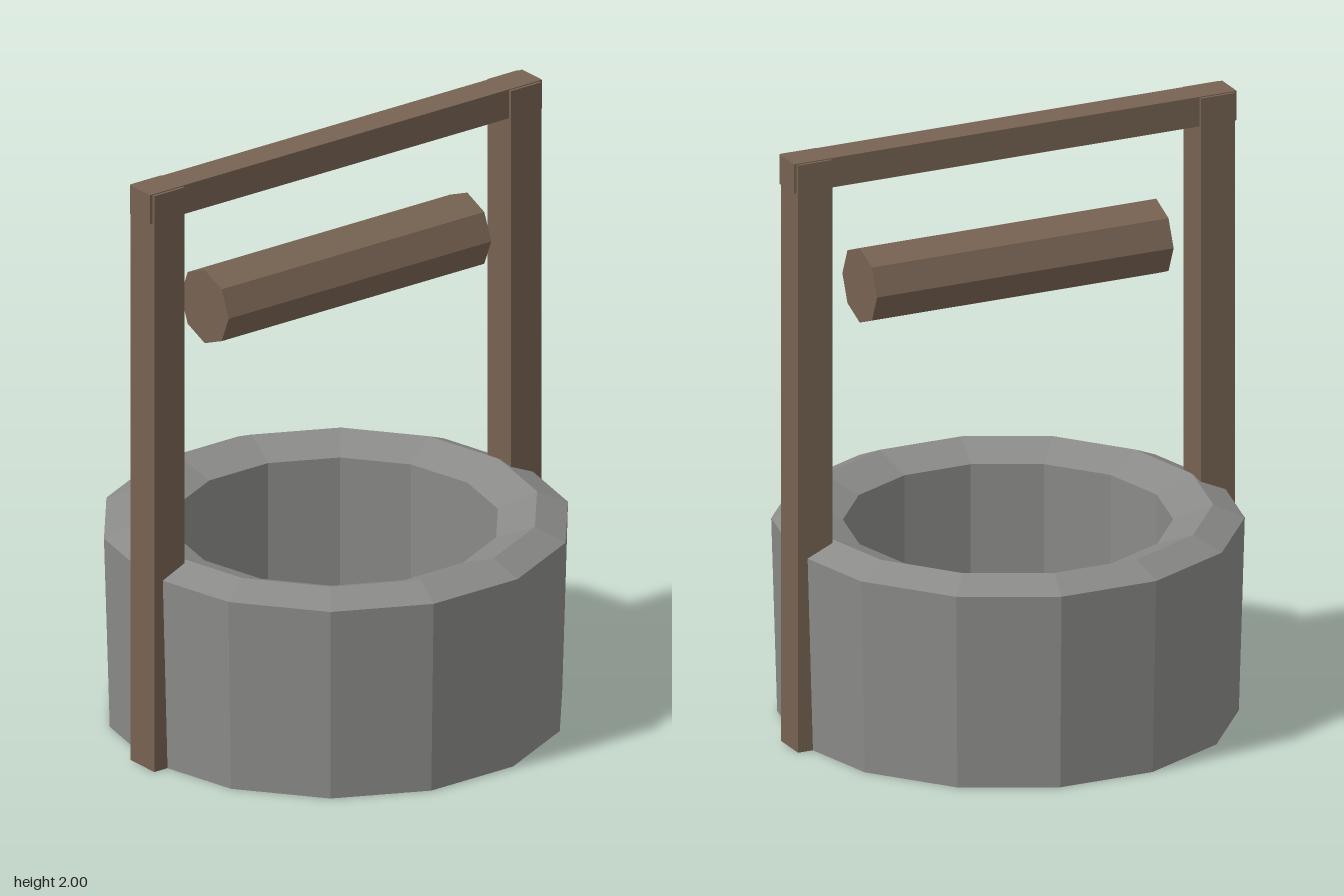
import * as THREE from 'three';

const stone = new THREE.MeshStandardMaterial({ color: 0x8a8a88, flatShading: true });
stone.name = 'stone';
const wood = new THREE.MeshStandardMaterial({ color: 0x776352, flatShading: true });
wood.name = 'wood';

function addPart(group, name, geometry, material, x = 0, y = 0, z = 0) {
  const mesh = new THREE.Mesh(geometry, material);
  mesh.name = name;
  mesh.position.set(x, y, z);
  group.add(mesh);
  return mesh;
}

export function createModel() {
  const well = new THREE.Group();
  well.name = 'well';

  // Stone basin: underside, flared wall, bevelled rim, inner wall and floor
  const sides = 14;
  const profile = [
    [0, 0], [0.738, 0], [0.757, 0.655], [0.656, 0.7],
    [0.528, 0.65], [0.528, 0.05], [0, 0.05],
  ].map(([r, y]) => new THREE.Vector2(r, y));
  addPart(well, 'stoneBasin', new THREE.LatheGeometry(profile, sides, Math.PI / sides), stone);

  // Posts on both sides, a hair lower than the beam
  for (const [name, side] of [['leftPost', 1], ['rightPost', -1]]) {
    addPart(well, name, new THREE.BoxGeometry(0.122, 1.997, 0.125), wood, side * 0.716, 0.9985);
  }

  // Beam joining the post tops
  addPart(well, 'crossBeam', new THREE.BoxGeometry(1.574, 0.1, 0.106), wood, 0, 1.95);

  // Eight-sided rope roller lying along x
  const roller = new THREE.CylinderGeometry(0.127, 0.127, 1.054, 8).rotateZ(Math.PI / 2);
  addPart(well, 'ropeRoller', roller, wood, 0, 1.53);

  return well;
}
